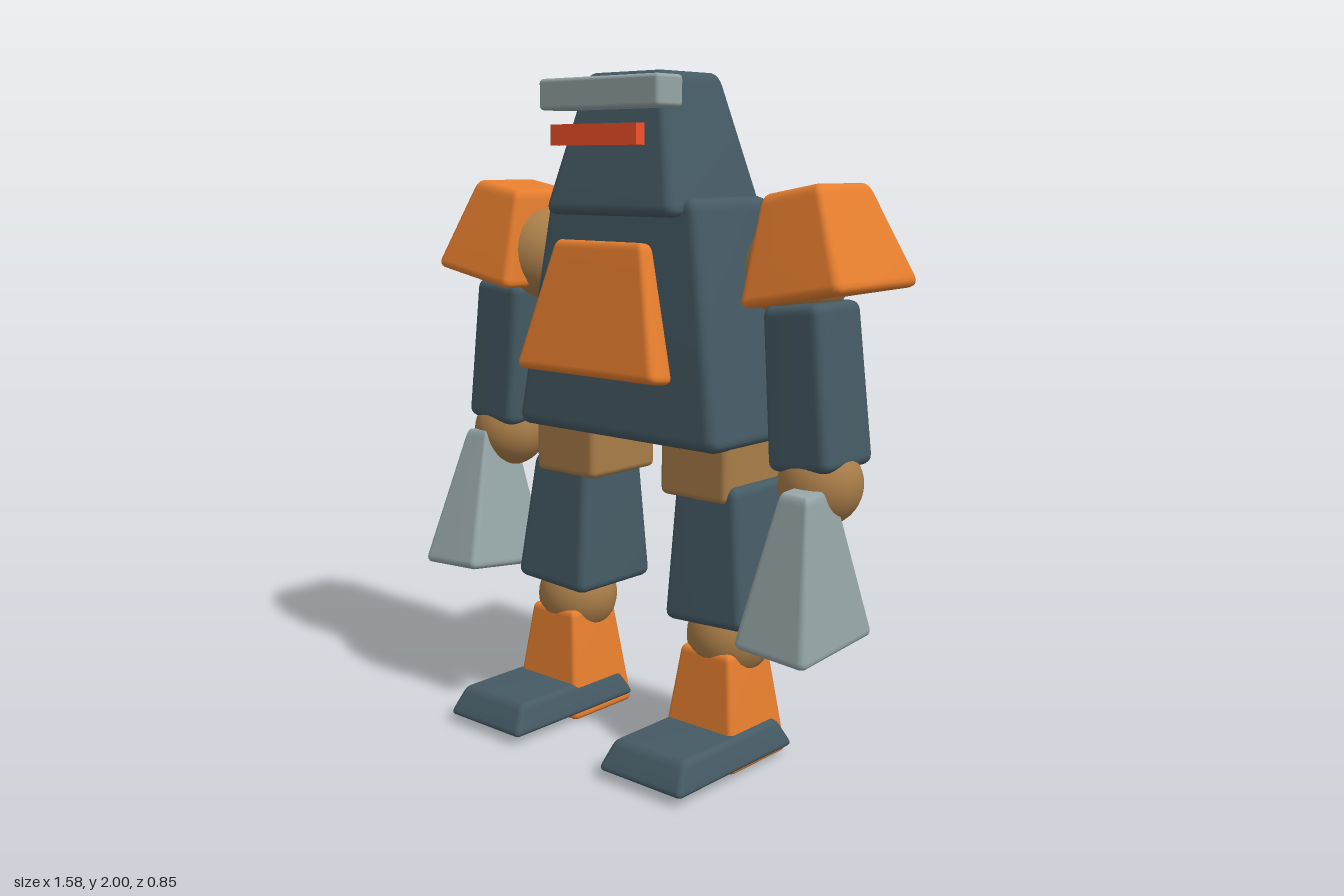
import * as THREE from 'three';
import { RoundedBoxGeometry } from 'three/addons/geometries/RoundedBoxGeometry.js';
import { mergeVertices } from 'three/addons/utils/BufferGeometryUtils.js';

const paint = (color) => new THREE.MeshStandardMaterial({ color });

// Rounded box whose width and depth change linearly from bottom to top
function taperedBox([bottomW, bottomD], [topW, topD], height, radius = 0.03) {
  const box = new RoundedBoxGeometry(bottomW, height, bottomD, 2, radius);
  box.deleteAttribute('normal');
  box.deleteAttribute('uv');
  const geometry = mergeVertices(box, 1e-5);
  const p = geometry.attributes.position;
  for (let i = 0; i < p.count; i++) {
    const t = p.getY(i) / height + 0.5;
    p.setX(i, p.getX(i) * THREE.MathUtils.lerp(1, topW / bottomW, t));
    p.setZ(i, p.getZ(i) * THREE.MathUtils.lerp(1, topD / bottomD, t));
  }
  geometry.computeVertexNormals();
  return geometry;
}

export function createModel() {
  const model = new THREE.Group();
  model.name = 'robot';

  const dark = paint(0x455a64);
  const orange = paint(0xe67e2e);
  const tan = paint(0xa87c48);
  const light = paint(0x95a5a6);
  const red = paint(0xf4522a);

  function add(name, geometry, material, position, rotation = [0, 0, 0]) {
    const mesh = new THREE.Mesh(geometry, material);
    mesh.name = name;
    mesh.position.set(...position);
    mesh.rotation.set(...rotation);
    model.add(mesh);
    return mesh;
  }

  // Body and head
  add('torso', taperedBox([0.81, 0.44], [0.57, 0.36], 0.71, 0.04), dark, [0, 1.29, -0.027]);
  add('head', taperedBox([0.52, 0.43], [0.29, 0.27], 0.41, 0.035), dark, [0, 1.795, -0.005]);
  add('brow', new RoundedBoxGeometry(0.465, 0.09, 0.11, 2, 0.012), light, [0, 1.937, 0.185]);
  add('visor', new THREE.BoxGeometry(0.335, 0.06, 0.035), red, [0, 1.82, 0.238]);
  add('chestPlate', taperedBox([0.56, 0.095], [0.34, 0.055], 0.39, 0.025), orange,
    [0, 1.325, 0.24], [-0.13, 0, 0]);

  // Round pack on the back
  add('backPack', new THREE.CylinderGeometry(0.17, 0.17, 0.3, 48), red,
    [0, 1.29, -0.278], [Math.PI / 2, 0, 0]);

  // Limbs, mirrored left and right
  const ball = (r) => new THREE.SphereGeometry(r, 32, 20);
  const shoulderPad = taperedBox([0.35, 0.4], [0.19, 0.25], 0.3);
  const upperArm = taperedBox([0.21, 0.235], [0.19, 0.22], 0.46);
  const hand = taperedBox([0.25, 0.345], [0.09, 0.13], 0.445, 0.025);
  const hip = new RoundedBoxGeometry(0.25, 0.22, 0.29, 2, 0.02);
  const thigh = taperedBox([0.3, 0.33], [0.225, 0.26], 0.41);
  const shin = taperedBox([0.28, 0.27], [0.18, 0.19], 0.34, 0.02);
  const foot = taperedBox([0.32, 0.53], [0.26, 0.43], 0.09, 0.02);

  for (const [side, s] of [['left', 1], ['right', -1]]) {
    // Arm
    add(side + 'Shoulder', ball(0.15), tan, [s * 0.522, 1.455, -0.025]);
    add(side + 'ShoulderPad', shoulderPad, orange, [s * 0.6, 1.525, -0.025], [0, 0, s * 0.18]);
    add(side + 'UpperArm', upperArm, dark, [s * 0.6, 1.135, -0.005], [0, 0, s * 0.09]);
    add(side + 'Elbow', ball(0.12), tan, [s * 0.628, 0.865, 0.005]);
    // One hand swings slightly back, the other slightly forward
    add(side + 'Hand', hand, light, [s * 0.648, 0.648, s > 0 ? 0.1 : 0.09],
      [s > 0 ? 0.07 : -0.12, 0, -s * 0.06]);

    // Leg
    add(side + 'Hip', hip, tan, [s * 0.26, 0.89, -0.022]);
    add(side + 'Thigh', thigh, dark, [s * 0.305, 0.62, -0.02], [0, 0, s * 0.05]);
    add(side + 'Knee', ball(0.127), tan, [s * 0.315, 0.362, 0.01]);
    add(side + 'Shin', shin, orange, [s * 0.314, 0.17, 0.032]);
    add(side + 'Foot', foot, dark, [s * 0.322, 0.07, 0.165]);
  }

  return model;
}
